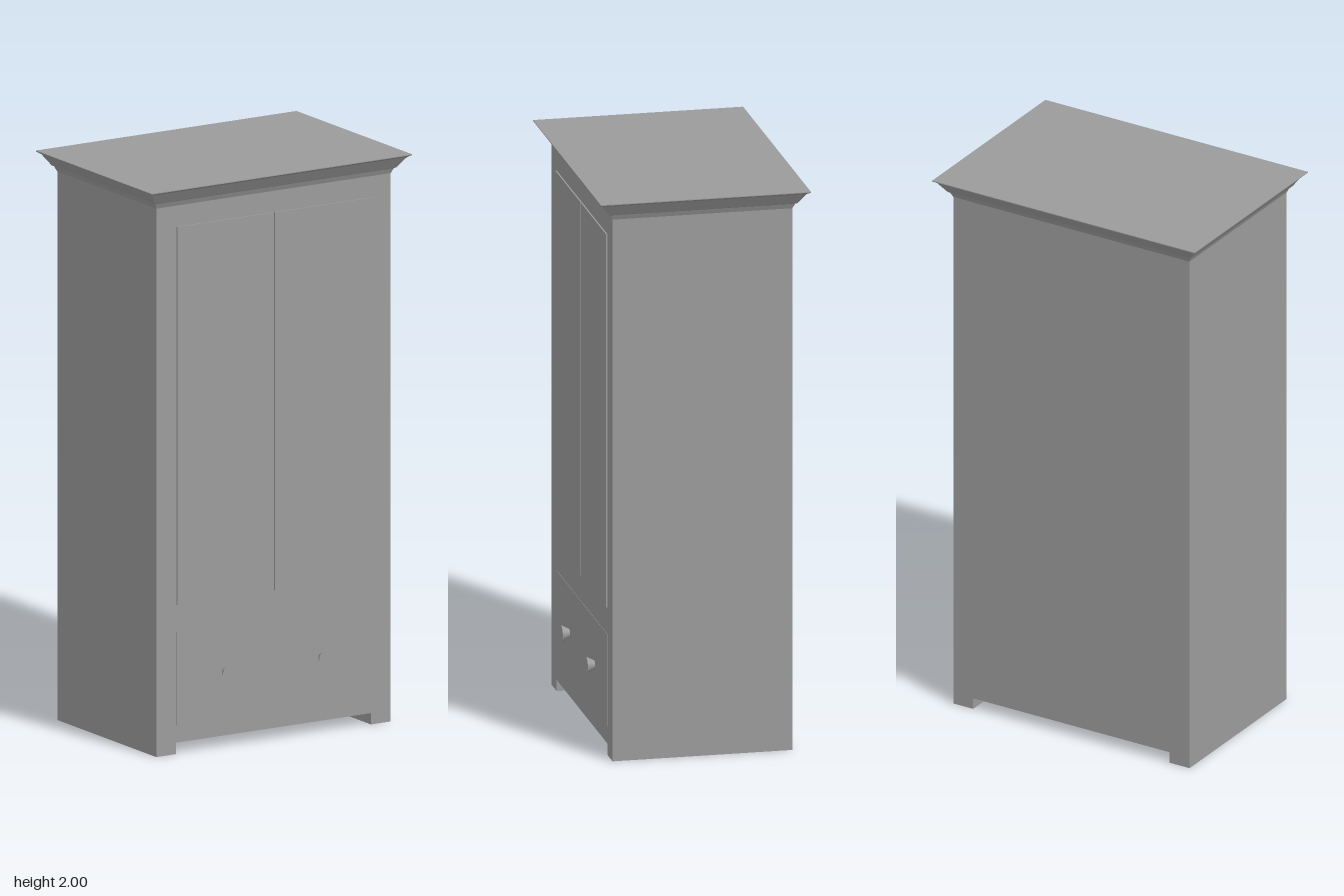
import * as THREE from 'three';

const material = new THREE.MeshStandardMaterial({ color: 0x9b9b9b });
const HALF_W = 0.475, HALF_D = 0.315;

function add(group, name, geometry, x = 0, y = 0, z = 0) {
  const mesh = new THREE.Mesh(geometry, material);
  mesh.name = name;
  mesh.position.set(x, y, z);
  group.add(mesh);
}

// Mitred rectangular moulding: each profile entry is [overhang, height], top first
function mouldingGeometry(profile) {
  const rows = profile.length - 1;
  const geometry = new THREE.BoxGeometry(1, 1, 1, 1, rows, 1);
  const p = geometry.attributes.position;
  for (let i = 0; i < p.count; i++) {
    const [out, y] = profile[Math.round((0.5 - p.getY(i)) * rows)];
    p.setXYZ(i, Math.sign(p.getX(i)) * (HALF_W + out), y, Math.sign(p.getZ(i)) * (HALF_D + out));
  }
  const flat = geometry.toNonIndexed();
  flat.computeVertexNormals();
  return flat;
}

export function createModel() {
  const group = new THREE.Group();
  group.name = 'wardrobe';

  // Carcass with full-depth side runners: one outline extruded front to back
  const outline = new THREE.Shape([
    [-HALF_W, 0], [-0.395, 0], [-0.395, 0.04], [0.395, 0.04],
    [0.395, 0], [HALF_W, 0], [HALF_W, 1.95], [-HALF_W, 1.95],
  ].map(([x, y]) => new THREE.Vector2(x, y)));
  const carcass = new THREE.ExtrudeGeometry(outline, { depth: HALF_D * 2, bevelEnabled: false });
  add(group, 'carcass', carcass, 0, 0, -HALF_D);

  // Crown moulding and top
  add(group, 'crown', mouldingGeometry([
    [0.053, 2], [0.053, 1.997], [0.04, 1.989], [0.014, 1.951], [0.008, 1.948], [0, 1.93],
  ]));

  // Drawer front, almost flush with the carcass
  add(group, 'drawerFront', new THREE.BoxGeometry(0.785, 0.33, 0.01), 0, 0.265, HALF_D - 0.0038);

  // Flat-faced turned knob, flaring towards the front
  const knob = new THREE.CylinderGeometry(0.029, 0.014, 0.03, 24);
  knob.rotateX(Math.PI / 2);

  for (const [side, s] of [['left', 1], ['right', -1]]) {
    add(group, side + 'Door', new THREE.BoxGeometry(0.391, 1.33, 0.012), s * 0.1975, 1.19, HALF_D - 0.001);
    add(group, side + 'Knob', knob, s * 0.195, 0.265, HALF_D + 0.015);
  }

  return group;
}
